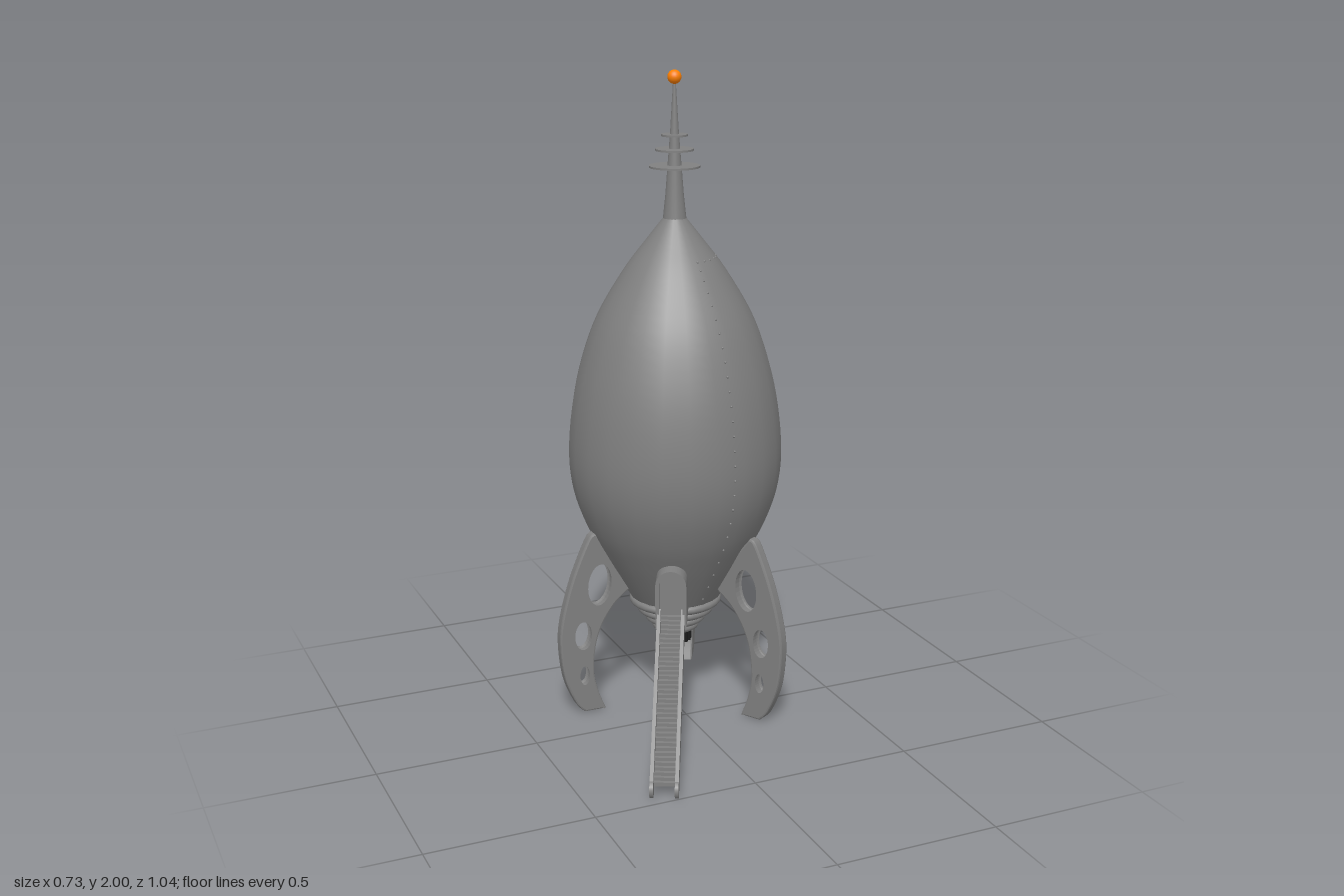
import * as THREE from 'three';

const grey = new THREE.MeshStandardMaterial({ color: 0x808080, side: THREE.DoubleSide });
const dark = new THREE.MeshStandardMaterial({ color: 0x1c1c1c });
const orange = new THREE.MeshStandardMaterial({ color: 0xff8000 });
const v2 = (a) => a.map(([x, y]) => new THREE.Vector2(x, y));

function add(parent, name, geo, x = 0, y = 0, z = 0, mat = grey) {
  const m = new THREE.Mesh(geo, mat);
  m.name = name;
  m.position.set(x, y, z);
  parent.add(m);
  return m;
}

// Group whose local +x points outward at angle a, measured from +x towards +z
function radial(parent, name, a) {
  const g = new THREE.Group();
  g.name = name;
  g.rotation.y = -a;
  parent.add(g);
  return g;
}

// Plate in the xy plane, centred on z = 0
function plate(shape, depth, bevel = 0) {
  return new THREE.ExtrudeGeometry(shape, {
    depth: depth - 2 * bevel, curveSegments: 16,
    bevelEnabled: bevel > 0, bevelSize: bevel, bevelThickness: bevel, bevelOffset: -bevel, bevelSegments: 2,
  }).translate(0, 0, -depth / 2 + bevel);
}

const hullCurve = new THREE.SplineCurve(v2([
  [0.145, 0.355], [0.19, 0.43], [0.236, 0.51], [0.282, 0.6], [0.319, 0.71], [0.332, 0.83],
  [0.32, 0.98], [0.29, 1.12], [0.239, 1.26], [0.157, 1.4], [0.09, 1.49], [0.035, 1.56]]));
const hullPoints = hullCurve.getPoints(44);

function hullRadius(y) {
  const i = Math.max(1, hullPoints.findIndex((p) => p.y >= y));
  const a = hullPoints[i - 1], b = hullPoints[i];
  return a.x + (b.x - a.x) * (y - a.y) / (b.y - a.y);
}

// Curved leg tapering to a foot, with three oval holes
function finGeometry() {
  const s = new THREE.Shape();
  s.moveTo(0.14, 0.41);
  s.lineTo(0.23, 0.54);
  s.lineTo(0.275, 0.595);
  s.splineThru(v2([[0.3, 0.575], [0.354, 0.45], [0.39, 0.32], [0.397, 0.23], [0.383, 0.12], [0.347, 0.032], [0.318, 0]]));
  s.lineTo(0.248, 0);
  s.splineThru(v2([[0.274, 0.07], [0.286, 0.15], [0.268, 0.26], [0.215, 0.35], [0.14, 0.41]]));
  for (const [x, y, rx, ry, tilt] of [
    [0.264, 0.423, 0.045, 0.074, 0.1], [0.321, 0.26, 0.034, 0.053, 0], [0.318, 0.125, 0.022, 0.038, 0]]) {
    const h = new THREE.Path();
    h.absellipse(x, y, rx, ry, 0, Math.PI * 2, true, tilt);
    s.holes.push(h);
  }
  return plate(s, 0.035, 0.006);
}

// Arched outline, centred on x = 0
function arch(PathType, half, bottom, spring) {
  const p = new PathType();
  p.moveTo(-half, bottom);
  p.lineTo(half, bottom);
  p.lineTo(half, spring);
  p.absarc(0, spring, half, 0, Math.PI, false);
  p.lineTo(-half, bottom);
  return p;
}

function addBoarding(rocket) {
  const g = radial(rocket, 'boardingRamp', 2.026);

  // Arched doorway tunnel with a door recessed inside
  const frame = arch(THREE.Shape, 0.047, 0.35, 0.488);
  frame.holes.push(arch(THREE.Path, 0.036, 0.362, 0.488));
  const tunnel = add(g, 'doorFrame', plate(frame, 0.17), 0.215);
  tunnel.rotation.y = Math.PI / 2;
  const door = add(g, 'door', plate(arch(THREE.Shape, 0.038, 0.355, 0.488), 0.01), 0.262);
  door.rotation.y = Math.PI / 2;

  // Ramp line, from the doorway down to the ground
  const top = new THREE.Vector2(0.27, 0.39), foot = new THREE.Vector2(0.705, 0.028);
  const length = top.distanceTo(foot);
  const slope = Math.atan2(foot.y - top.y, foot.x - top.x);
  const rail = new THREE.Shape(v2([
    [0, -0.028], [length - 0.015, -0.028], [length, -0.015], [length, 0.024], [0, 0.024]]));
  const railGeo = plate(rail, 0.011);
  const knobGeo = new THREE.CylinderGeometry(0.027, 0.027, 0.011, 20).rotateX(Math.PI / 2);
  for (const z of [-0.0365, 0.0365]) {
    add(g, 'rampRail', railGeo, top.x, top.y, z).rotation.z = slope;
    add(g, 'rampRailEnd', knobGeo, foot.x, foot.y, z);
  }
  const mid = top.clone().lerp(foot, 0.48);
  add(g, 'rampFloor', new THREE.BoxGeometry(length * 0.96, 0.012, 0.07), mid.x - 0.012, mid.y - 0.016).rotation.z = slope;

  // Closely spaced stair treads between the rails
  const tread = new THREE.BoxGeometry(0.014, 0.012, 0.07);
  for (let i = 0; i < 36; i++) {
    const p = top.clone().lerp(foot, 0.01 + i * 0.027);
    add(g, 'rampTread', tread, p.x, p.y - 0.01);
  }
}

function addRivets(rocket) {
  const g = new THREE.Group();
  g.name = 'rivets';
  rocket.add(g);
  const geo = new THREE.SphereGeometry(0.004, 6, 4);
  const rivet = (a, y) => {
    const r = hullRadius(y) - 0.002;
    add(g, 'rivet', geo, r * Math.cos(a), y, r * Math.sin(a));
  };
  // Two vertical seams joined by an arc near the nose
  const seamA = 1.405, seamB = -0.64;
  for (let i = 0; i < 25; i++) rivet(seamA, 1.42 - 1.04 * Math.pow(i / 24, 1.15));
  for (let i = 0; i < 18; i++) rivet(seamB, 1.42 - 1.04 * Math.pow(i / 17, 1.1));
  for (let i = 0; i <= 14; i++) rivet(seamA - i * (seamA + Math.PI / 2) / 14, 1.443);
}

export function createModel() {
  const model = new THREE.Group();
  model.name = 'rocket';
  const rocket = new THREE.Group();
  rocket.name = 'rocketBody';
  rocket.position.set(0.032, 0, -0.16);
  model.add(rocket);

  // Hull, closed at the base
  add(rocket, 'hull', new THREE.LatheGeometry(hullPoints, 24));
  add(rocket, 'hullBase', new THREE.CylinderGeometry(0.145, 0.13, 0.02, 24), 0, 0.35);

  // Spire with antenna discs and tip ball
  add(rocket, 'spire', new THREE.LatheGeometry(v2([
    [0.036, 1.555], [0.028, 1.63], [0.021, 1.72], [0.013, 1.82], [0.004, 1.97]]), 20));
  for (const [r, y] of [[0.077, 1.715], [0.058, 1.765], [0.04, 1.808]]) {
    add(rocket, 'antennaDisc', new THREE.CylinderGeometry(r, r, 0.006, 28), 0, y);
  }
  add(rocket, 'tipBall', new THREE.SphereGeometry(0.021, 20, 14), 0, 1.979, 0, orange);

  // Stacked rings tapering to the engine
  add(rocket, 'engineCone', new THREE.CylinderGeometry(0.125, 0.045, 0.13, 24), 0, 0.285);
  for (const [r, y] of [[0.133, 0.338], [0.108, 0.307], [0.083, 0.277], [0.062, 0.249]]) {
    const ring = add(rocket, 'engineRing', new THREE.TorusGeometry(r, 0.014, 10, 28), 0, y);
    ring.rotation.x = Math.PI / 2;
  }

  // Engine nozzle: two tiers of small tubes round a central jet
  const tube = new THREE.CylinderGeometry(0.008, 0.008, 0.05, 8);
  for (const [count, r, y] of [[16, 0.045, 0.219], [8, 0.022, 0.2]]) {
    for (let i = 0; i < count; i++) {
      const a = i / count * Math.PI * 2;
      add(rocket, 'nozzleTube', tube, r * Math.cos(a), y, r * Math.sin(a), dark);
    }
  }
  add(rocket, 'nozzleCore', new THREE.CylinderGeometry(0.043, 0.039, 0.04, 16), 0, 0.222, 0, dark);
  add(rocket, 'centralJet', new THREE.CylinderGeometry(0.008, 0.008, 0.06, 10), 0, 0.19, 0, dark);

  // Three landing fins, the left pair set slightly outward
  const fin = finGeometry();
  for (const [a, x, z] of [[Math.PI, 0, 0], [Math.PI / 3, 0.014, 0.009], [-Math.PI / 3, 0.014, -0.009]]) {
    const g = radial(rocket, 'landingFin', a);
    g.position.set(x, 0, z);
    add(g, 'finPlate', fin);
  }

  addBoarding(rocket);
  addRivets(rocket);
  return model;
}
